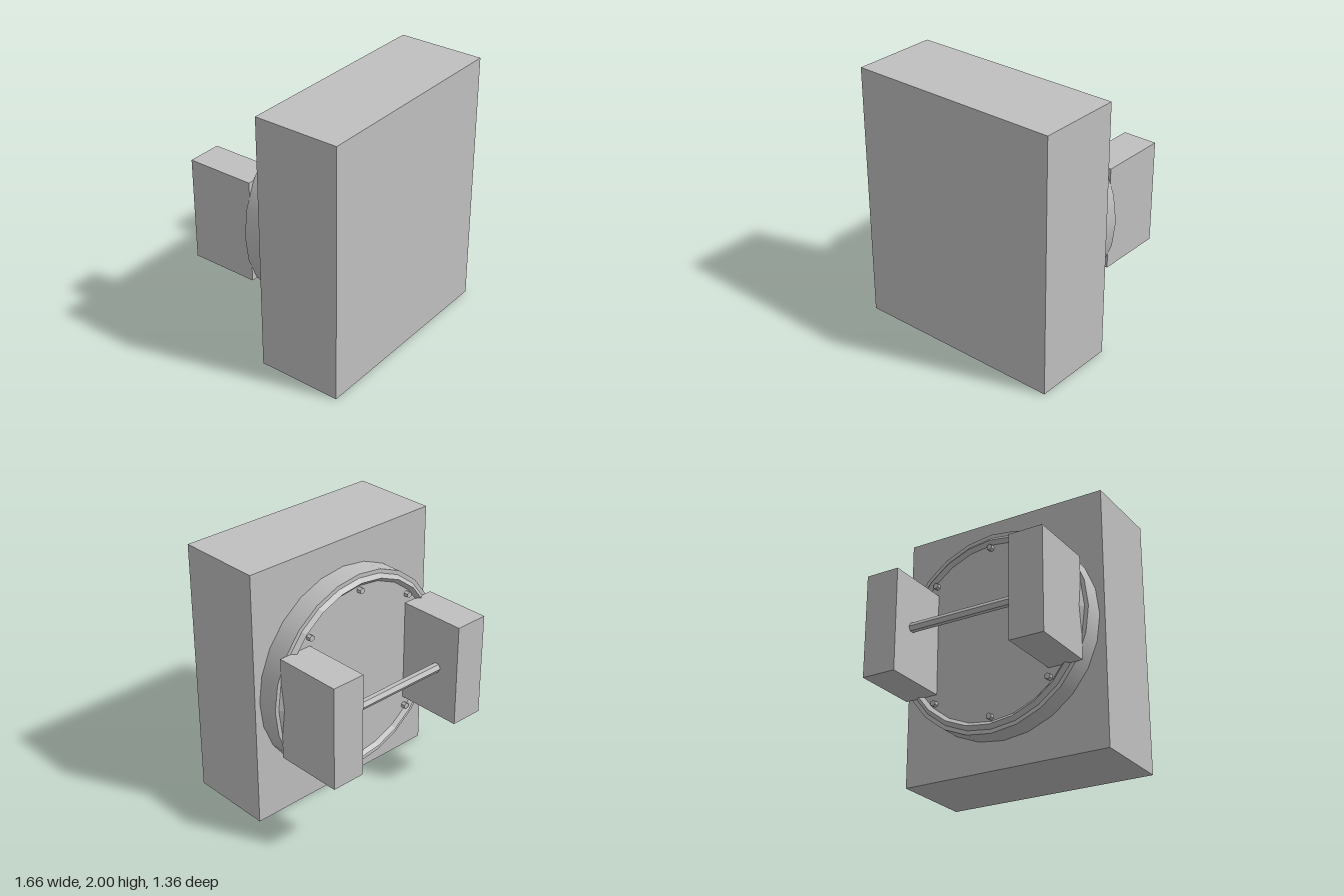
import * as THREE from 'three';

export function createModel() {
  const model = new THREE.Group();
  const grey = new THREE.MeshStandardMaterial({ color: 0xc0c0c0 });
  grey.name = 'plain grey';

  const add = (name, geometry, x, y, z) => {
    const mesh = new THREE.Mesh(geometry, grey);
    mesh.name = name;
    mesh.position.set(x, y, z);
    model.add(mesh);
    return mesh;
  };

  // Solid front slab
  add('body', new THREE.BoxGeometry(1.664, 2, 0.665), 0, 1, 0.348);

  // Round plate on the back with a raised diamond-section rim
  add('backPlate', new THREE.CylinderGeometry(0.79, 0.79, 0.167, 24).rotateX(Math.PI / 2), 0, 1, -0.0675);
  const rim = new THREE.TorusGeometry(0.73, 0.03, 4, 24).toNonIndexed();
  rim.computeVertexNormals();
  add('rim', rim, 0, 1, -0.15);

  // Ring of small hexagonal bolts
  const boltGeometry = new THREE.CylinderGeometry(0.024, 0.024, 0.036, 6).toNonIndexed().rotateX(Math.PI / 2);
  boltGeometry.computeVertexNormals();
  for (let i = 0; i < 8; i++) {
    const a = (i * Math.PI) / 4;
    add('bolt', boltGeometry, 0.67 * Math.cos(a), 1 + 0.67 * Math.sin(a), -0.167);
  }

  // Two upright blocks joined by a handle bar
  for (const side of [-1, 1]) {
    add(side > 0 ? 'leftBlock' : 'rightBlock', new THREE.BoxGeometry(0.266, 0.8, 0.532), side * 0.598, 1, -0.415);
  }
  const bar = new THREE.CylinderGeometry(0.036, 0.036, 0.96, 6).toNonIndexed().rotateZ(Math.PI / 2);
  bar.computeVertexNormals();
  add('handleBar', bar, 0, 1, -0.485);

  return model;
}
